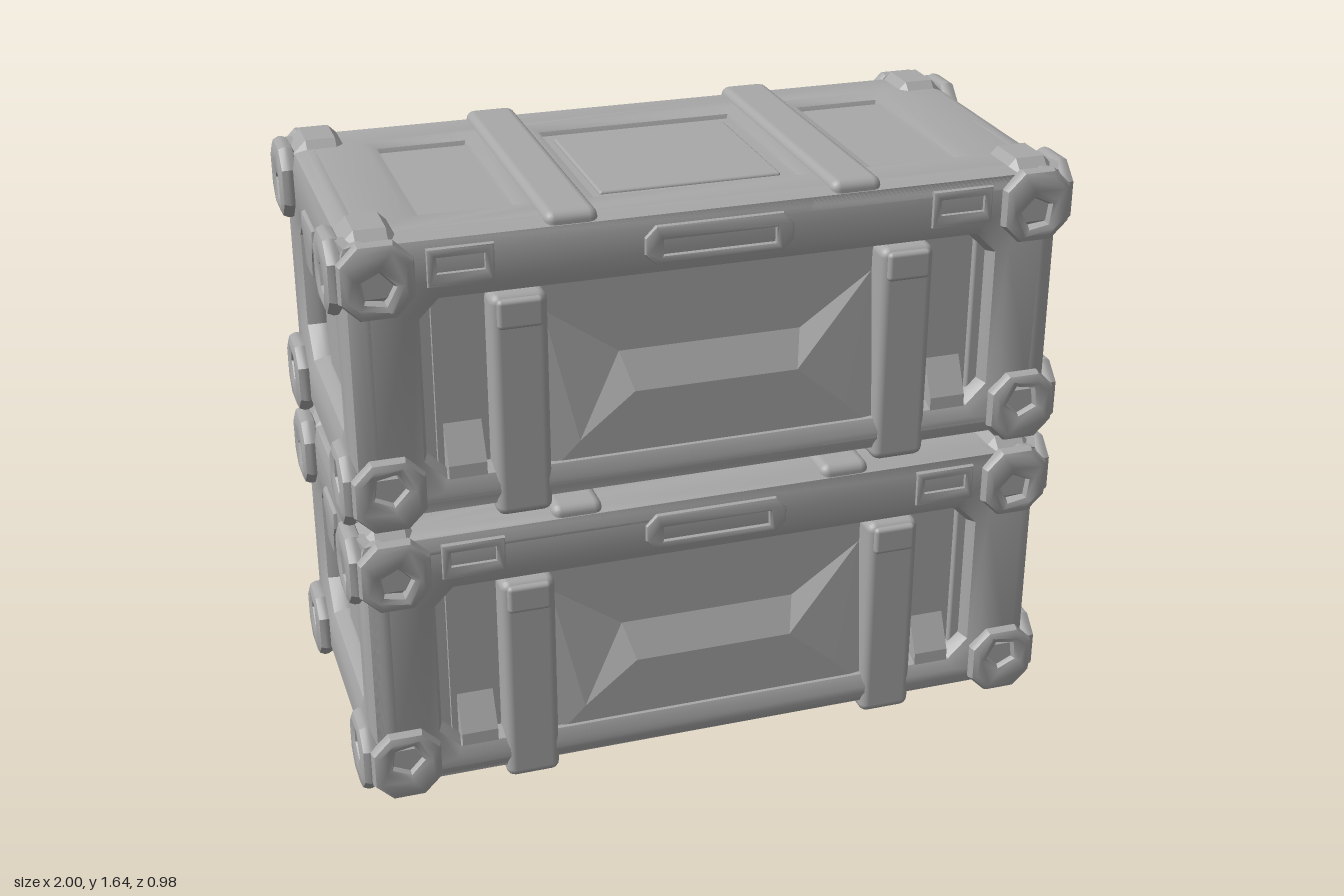
import * as THREE from 'three';
import { toCreasedNormals } from 'three/addons/utils/BufferGeometryUtils.js';
import { RoundedBoxGeometry } from 'three/addons/geometries/RoundedBoxGeometry.js';
import { ConvexGeometry } from 'three/addons/geometries/ConvexGeometry.js';

const grey = new THREE.MeshStandardMaterial({ color: 0xa8a8a8 });
grey.name = 'case grey';
const BEVEL = 0.045;

// Rectangle with cut corners
function rect(x0, x1, y0, y1, c = 0) {
  const p = c
    ? [[x0 + c, y0], [x1 - c, y0], [x1, y0 + c], [x1, y1 - c], [x1 - c, y1], [x0 + c, y1], [x0, y1 - c], [x0, y0 + c]]
    : [[x0, y0], [x1, y0], [x1, y1], [x0, y1]];
  return new THREE.Shape(p.map(([x, y]) => new THREE.Vector2(x, y)));
}

// Bevelled slab with holes whose front face lies at z = front
function slab(shape, holes, front, thick, bevel) {
  shape.holes = holes;
  const g = new THREE.ExtrudeGeometry(shape, {
    depth: thick - 2 * bevel, bevelEnabled: true, bevelSize: bevel,
    bevelThickness: bevel, bevelOffset: -bevel, bevelSegments: 2,
  });
  g.translate(0, 0, front - thick + bevel);
  return toCreasedNormals(g, 0.6);
}

// Box given by its limits, with softened edges
function block(x0, x1, y0, y1, z0, z1, r = 0.015) {
  const g = new RoundedBoxGeometry(x1 - x0, y1 - y0, z1 - z0, 2, r);
  return g.translate((x0 + x1) / 2, (y0 + y1) / 2, (z0 + z1) / 2);
}

// Mirrored copy that keeps faces pointing outwards
function mirrored(geo, sx, sy, sz) {
  const g = geo.index ? geo.toNonIndexed() : geo.clone();
  g.applyMatrix4(new THREE.Matrix4().makeScale(sx, sy, sz));
  if (sx * sy * sz < 0) {
    for (const a of Object.values(g.attributes)) {
      const n = a.itemSize;
      for (let i = 0; i < a.count; i += 3)
        for (let k = 0; k < n; k++) {
          const u = (i + 1) * n + k, v = (i + 2) * n + k, t = a.array[u];
          a.array[u] = a.array[v];
          a.array[v] = t;
        }
    }
  }
  return g;
}

// Corner guard: chamfered block with a pentagonal dimple in both outer faces
function cornerParts() {
  const [hx, hy, hz, c] = [0.095, 0.108, 0.11, 0.055], pts = [];
  for (const x of [-1, 1]) for (const y of [-1, 1]) for (const z of [-1, 1]) {
    pts.push(new THREE.Vector3(x * hx, y * (hy - c), z * (hz - c)));
    pts.push(new THREE.Vector3(x * (hx - c), y * hy, z * (hz - c)));
    pts.push(new THREE.Vector3(x * (hx - c), y * (hy - c), z * hz));
  }
  const core = new ConvexGeometry(pts).translate(0.88, 0.7075, 0.36);
  const pentagon = () => new THREE.Path([0, 1, 2, 3, 4].map((i) => {
    const a = 0.5 + i * Math.PI * 0.4;
    return new THREE.Vector2(Math.cos(a) * 0.042, Math.sin(a) * 0.042 - 0.02);
  }));
  const face = slab(rect(-0.095, 0.095, -0.1, 0.1, 0.05), [pentagon()], 0.49, 0.05, 0.02);
  const end = slab(rect(-0.1, 0.1, -0.1, 0.1, 0.05), [pentagon()], 1, 0.05, 0.02).rotateY(Math.PI / 2);
  return [core, face.translate(0.88, 0.7, 0), end.translate(0, 0.7, 0.36)];
}

// Faceted bulge in the lower half of the centre panel
function bulge() {
  const o = 0.395, i = 0.44;
  const ring = [[-0.45, 0.54, o], [-0.25, 0.4, o], [0.25, 0.4, o], [0.45, 0.54, o]];
  const lip = [[-0.37, 0.18, i], [-0.22, 0.3, i], [0.23, 0.3, i], [0.37, 0.18, i]];
  const foot = [[-0.45, 0.1, i], [0.45, 0.1, i]];
  const v = [];
  const face = (...p) => { for (let k = 1; k < p.length - 1; k++) v.push(...p[0], ...p[k], ...p[k + 1]); };
  for (let k = 0; k < 3; k++) face(ring[k + 1], ring[k], lip[k], lip[k + 1]);
  face(lip[0], lip[3], lip[2], lip[1]);
  face(foot[0], foot[1], lip[3], lip[0]);
  face(ring[0], foot[0], lip[0]);
  face(ring[3], lip[3], foot[1]);
  const g = new THREE.BufferGeometry();
  g.setAttribute('position', new THREE.Float32BufferAttribute(v, 3));
  g.computeVertexNormals();
  return g;
}

function createCrate() {
  const crate = new THREE.Group();
  const add = (name, geo) => {
    const m = new THREE.Mesh(geo, grey);
    m.name = name;
    crate.add(m);
  };
  add('core', new THREE.BoxGeometry(1.8, 0.72, 0.79).translate(0, 0.41, 0));

  // Front and back
  const longFrame = slab(rect(-0.965, 0.965, 0.025, 0.795),
    [rect(-0.77, 0.77, 0.14, 0.615, 0.05)], 0.46, 0.11, BEVEL);
  const grip = slab(rect(-0.2, 0.2, 0.655, 0.76, 0.03), [rect(-0.15, 0.15, 0.68, 0.72)], 0.472, 0.02, 0.008);
  const slot = slab(rect(-0.085, 0.085, 0.665, 0.765), [rect(-0.06, 0.06, 0.7, 0.74)], 0.47, 0.02, 0.006);
  const wedge = new THREE.ExtrudeGeometry(
    new THREE.Shape([[0.38, 0.09], [0.45, 0.09], [0.445, 0.16], [0.38, 0.29]].map((p) => new THREE.Vector2(...p))),
    { depth: 0.1, bevelEnabled: false }).rotateY(-Math.PI / 2);
  const centre = bulge();
  for (const s of [1, -1]) {
    const put = (name, g) => add(name, g.clone().rotateY(s > 0 ? 0 : Math.PI));
    put('longFrame', longFrame);
    put('gripPlate', grip);
    put('centrePanel', centre);
    for (const x of [-0.67, 0.67]) {
      put('slotPlate', slot.clone().translate(x, 0, 0));
      // rotated profile runs along -x with its depth along +z
      put('hingeWedge', wedge.clone().rotateY(-Math.PI / 2).rotateY(Math.PI / 2)
        .applyMatrix4(new THREE.Matrix4().makeRotationY(0))
        .translate(x + 0.05, 0, 0));
      put('bayRib', block(x + 0.07 * Math.sign(x), x + 0.1 * Math.sign(x) + 0.03, 0.1, 0.64, 0.37, 0.41, 0.008));
    }
  }

  // Ends
  const endFrame = slab(rect(-0.46, 0.46, 0.025, 0.795), [rect(-0.3, 0.3, 0.21, 0.61, 0.07)], 0.965, 0.11, BEVEL);
  const endPanel = block(-0.19, 0.19, 0.15, 0.66, 0.85, 0.912, 0.01);
  const latch = slab(new THREE.Shape([[-0.05, 0.555], [0.05, 0.555], [0.06, 0.62], [0.085, 0.65], [0.085, 0.7], [-0.085, 0.7], [-0.085, 0.65], [-0.06, 0.62]]
    .map((p) => new THREE.Vector2(...p))), [], 0.978, 0.08, 0.012);
  for (const s of [1, -1]) {
    const put = (name, g) => add(name, g.clone().rotateY(s * Math.PI / 2));
    put('endFrame', endFrame);
    put('endPanel', endPanel);
    put('latch', latch);
  }

  // Lid and base
  const sideHole = (s) => rect(s > 0 ? 0.5 : -0.72, s > 0 ? 0.72 : -0.5, -0.26, 0.26);
  add('lid', slab(rect(-0.965, 0.965, -0.46, 0.46),
    [rect(-0.265, 0.265, -0.265, 0.265), sideHole(1), sideHole(-1)], 0.795, 0.1, BEVEL).rotateX(-Math.PI / 2));
  add('base', slab(rect(-0.965, 0.965, -0.46, 0.46),
    [rect(-0.37, 0.37, -0.265, 0.265)], -0.025, 0.1, BEVEL).rotateX(Math.PI / 2));
  add('lidPanel', block(-0.25, 0.25, 0.74, 0.778, -0.23, 0.23, 0.008));

  // Straps, lid ribs and clasps
  for (const s of [1, -1]) {
    const put = (name, g) => add(name, mirrored(g, s, 1, 1));
    put('strap', block(0.45, 0.6, 0, 0.62, -0.465, 0.465, 0.025));
    put('clasp', block(0.465, 0.585, 0.53, 0.61, -0.475, 0.475, 0.012));
    put('lidRib', block(0.31, 0.45, 0.7, 0.815, -0.445, 0.445, 0.025));
  }

  // Eight corner guards
  const parts = cornerParts();
  for (const sx of [1, -1]) for (const sy of [1, -1]) for (const sz of [1, -1])
    for (const g of parts)
      add('cornerGuard', mirrored(g.clone().translate(0, -0.4075, 0), sx, sy, sz).translate(0, 0.4075, 0));
  return crate;
}

export function createModel() {
  const model = new THREE.Group();
  model.name = 'stackedCrates';
  ['lowerCrate', 'upperCrate'].forEach((name, i) => {
    const crate = createCrate();
    crate.name = name;
    crate.position.y = i * 0.82;
    model.add(crate);
  });
  return model;
}
